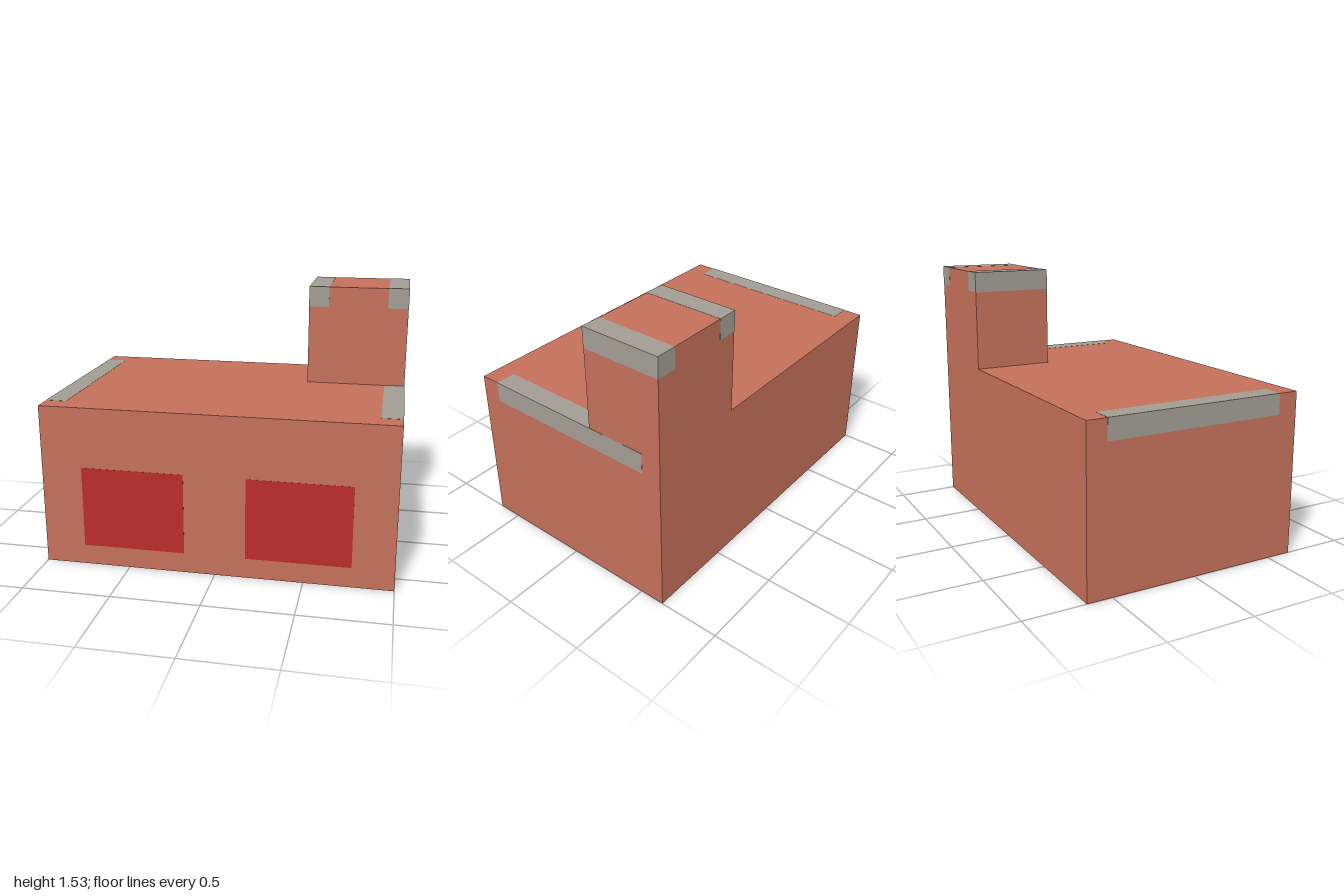
import * as THREE from 'three';

const U = 1 / 17; // modelling grid unit
const SKIN = 0.001; // keeps flush inlays just clear of the walls

export function createModel() {
  const group = new THREE.Group();
  const material = (color) => new THREE.MeshStandardMaterial({ color });
  const brick = material(0xc4705a);
  const stone = material(0xa19d94);
  const red = material(0xba2c2c);

  // Box from its min and max corners in grid units, optionally grown by a skin
  function box(name, mat, min, max, skin = 0) {
    const size = min.map((v, i) => (max[i] - v) * U + 2 * skin);
    const mesh = new THREE.Mesh(new THREE.BoxGeometry(...size), mat);
    mesh.position.set(...min.map((v, i) => ((v + max[i]) / 2) * U));
    mesh.name = name;
    group.add(mesh);
  }

  // Main block and the tower on its back left corner
  box('body', brick, [-17, 0, -11], [17, 16, 11]);
  box('tower', brick, [7, 16, -11], [17, 26, -3]);

  // Edge strips along both sides of the main roof
  box('roofTrimRight', stone, [-17, 14, -9], [-15, 16, 9], SKIN);
  box('roofTrimLeft', stone, [15, 14, -9], [17, 16, 9], SKIN);

  // Edge strips along both sides of the tower top
  box('towerTrimRight', stone, [7, 24, -11], [9, 26, -3], SKIN);
  box('towerTrimLeft', stone, [15, 24, -11], [17, 26, -3], SKIN);

  // Two red panels set flush in the front
  box('frontPanelRight', red, [-13, 2, 10], [-3, 10, 11], SKIN);
  box('frontPanelLeft', red, [3, 2, 10], [13, 10, 11], SKIN);

  return group;
}
